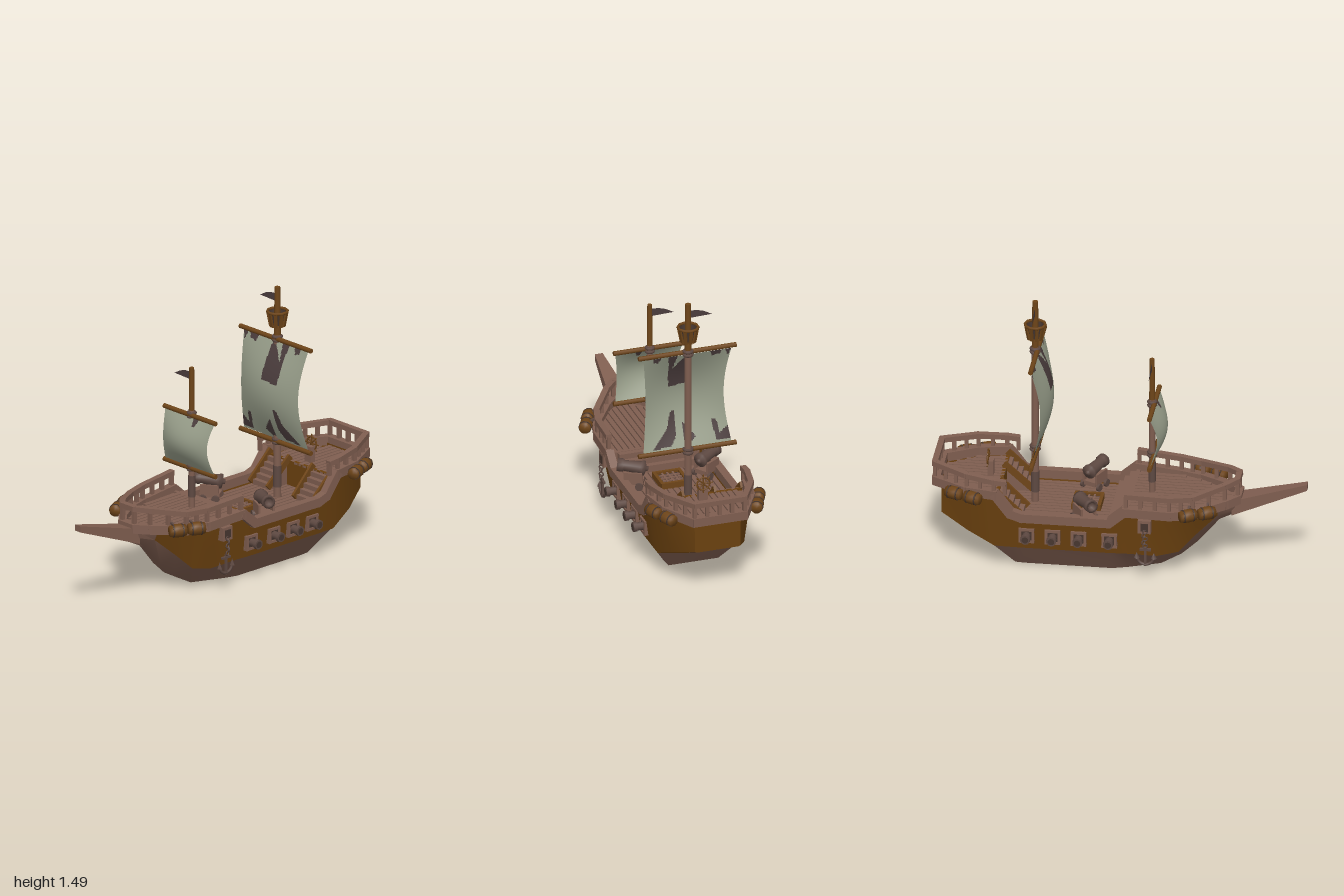
import * as THREE from 'three';
import { toCreasedNormals } from 'three/addons/utils/BufferGeometryUtils.js';

export function createModel() {
  const ship = new THREE.Group();
  ship.name = 'sailingShip';
  const mat = (name, color) => {
    const m = new THREE.MeshStandardMaterial({ color, side: THREE.DoubleSide });
    m.name = name;
    return m;
  };
  const wood = mat('paleWood', 0x7f5e50), hullBrown = mat('hullBrown', 0x6b410f);
  const brown = mat('warmWood', 0x6e4519), dark = mat('darkGap', 0x46362f);
  const iron = mat('iron', 0x5e4942), cloth = mat('sailCloth', 0x989e8a), tear = mat('sailTear', 0x4b3d3d);

  const add = (name, geo, m, x = 0, y = 0, z = 0, parent = ship) => {
    const mesh = new THREE.Mesh(geo, m);
    mesh.name = name;
    mesh.position.set(x, y, z);
    parent.add(mesh);
    return mesh;
  };
  const box = (name, w, h, d, m, x, y, z, parent) => add(name, new THREE.BoxGeometry(w, h, d), m, x, y, z, parent);
  const rod = (name, r0, r1, len, m, x, y, z, parent, sides = 10) =>
    add(name, new THREE.CylinderGeometry(r1, r0, len, sides), m, x, y, z, parent);
  // Rectangular bar from p to q
  const beam = (name, p, q, h, t, m) => {
    const a = new THREE.Vector3(...p), b = new THREE.Vector3(...q);
    const mesh = box(name, t, h, a.distanceTo(b) + t * 0.5, m, 0, 0, 0);
    mesh.position.copy(a).lerp(b, 0.5);
    mesh.lookAt(b);
  };
  const triangles = (list) => {
    const g = new THREE.BufferGeometry();
    g.setAttribute('position', new THREE.Float32BufferAttribute(list.flat(), 3));
    return toCreasedNormals(g, 0.6);
  };

  // Hull stations: x, keel y / half width, chine y / half width, top y / half width
  const stations = [
    [-0.65, 0.33, 0.02, 0.36, 0.035, 0.41, 0.045], [-0.53, 0.27, 0.02, 0.33, 0.10, 0.40, 0.13],
    [-0.42, 0.14, 0.03, 0.23, 0.14, 0.39, 0.20], [-0.33, 0.06, 0.04, 0.14, 0.18, 0.39, 0.235],
    [-0.22, 0, 0.05, 0.12, 0.205, 0.39, 0.25], [-0.05, 0, 0.12, 0.135, 0.23, 0.40, 0.26],
    [0.03, 0, 0.145, 0.135, 0.235, 0.33, 0.262], [0.50, 0, 0.145, 0.135, 0.235, 0.33, 0.262],
    [0.55, 0, 0.14, 0.135, 0.235, 0.35, 0.262], [0.65, 0.133, 0.222, 0.137, 0.235, 0.45, 0.262],
    [0.80, 0.198, 0.18, 0.203, 0.20, 0.45, 0.235], [0.95, 0.26, 0.115, 0.265, 0.128, 0.45, 0.13]];
  const section = ([x, yb, wb, yc, wc, yt, wt]) =>
    [[x, yt, wt], [x, yc, wc], [x, yb, wb], [x, yb, -wb], [x, yc, -wc], [x, yt, -wt]];
  const lower = [], upper = [];
  for (let i = 0; i < stations.length - 1; i++) {
    const P = section(stations[i]), Q = section(stations[i + 1]);
    for (let j = 0; j < 5; j++) {
      const painted = j === 0 || j === 4 ? i > 0 : i >= 9;
      (painted ? upper : lower).push(...[P[j], P[j + 1], Q[j + 1], P[j], Q[j + 1], Q[j]]);
    }
  }
  const stern = section(stations[stations.length - 1]), stem = section(stations[0]);
  for (let j = 1; j < 5; j++) {
    upper.push(stern[0], stern[j], stern[j + 1]);
    lower.push(stem[0], stem[j + 1], stem[j]);
  }
  add('lowerHull', triangles(lower), wood);
  add('upperHull', triangles(upper), hullBrown);

  // Bowsprit: a box tapered and lifted toward its tip
  const sprit = new THREE.BoxGeometry(0.4, 1, 1);
  const sp = sprit.attributes.position;
  for (let i = 0; i < sp.count; i++) {
    const tip = sp.getX(i) < 0, up = sp.getY(i) > 0;
    sp.setXYZ(i, tip ? -1 : -0.6, tip ? (up ? 0.505 : 0.47) : (up ? 0.40 : 0.315),
      Math.sign(sp.getZ(i)) * (tip ? 0.022 : 0.06));
  }
  sprit.computeVertexNormals();
  add('bowsprit', sprit, wood);

  // Decks: separate planks over a sunken base
  const halfWidth = (x) => {
    const i = Math.max(1, stations.findIndex((s) => s[0] >= x));
    const a = stations[i - 1], b = stations[i], t = (x - a[0]) / (b[0] - a[0]);
    return a[6] + (b[6] - a[6]) * t;
  };
  const deck = (name, a, b, y) => {
    const pts = [];
    for (let i = 0; i <= 20; i++) {
      const x = a + (b - a) * i / 20;
      pts.push([x, halfWidth(x) - 0.018]);
    }
    const outline = [...pts, ...pts.map(([x, w]) => [x, -w]).reverse()].map((p) => new THREE.Vector2(...p));
    add(name + 'Base', new THREE.ShapeGeometry(new THREE.Shape(outline)).rotateX(-Math.PI / 2), wood, 0, y - 0.008, 0);
    for (let k = -7; k <= 7; k++) {
      const z = k * 0.033, fits = pts.filter((p) => p[1] > Math.abs(z) + 0.012).map((p) => p[0]);
      if (fits.length < 2) continue;
      const x0 = fits[0], x1 = fits[fits.length - 1];
      box(name + 'Plank', x1 - x0, 0.012, 0.026, wood, (x0 + x1) / 2, y - 0.004, z);
    }
  };
  deck('foreDeck', -0.64, -0.06, 0.40);
  deck('mainDeck', -0.06, 0.64, 0.30);
  deck('aftDeck', 0.63, 0.95, 0.44);

  // Steps and bulkheads between the decks
  box('foreBulkhead', 0.02, 0.10, 0.48, wood, -0.06, 0.352, 0);
  for (let i = 0; i < 3; i++) box('foreStep', 0.04, 0.1 - i * 0.03, 0.44, wood, -0.04 + i * 0.03, 0.35 - i * 0.015, 0);
  box('aftBulkhead', 0.02, 0.14, 0.48, hullBrown, 0.64, 0.372, 0);
  for (const s of [1, -1]) {
    for (let i = 0; i < 5; i++) {
      const h = 0.03 + i * 0.026;
      box('aftStep', 0.027, h, 0.13, wood, 0.515 + i * 0.027, 0.30 + h / 2, s * 0.168);
    }
    beam('stairSide', [0.49, 0.32, s * 0.10], [0.64, 0.46, s * 0.09], 0.035, 0.014, brown);
    beam('stairSide', [0.49, 0.32, s * 0.238], [0.64, 0.46, s * 0.238], 0.035, 0.014, brown);
  }

  // Gunwale band and railings run along a side path and its mirror
  const bothSides = (path) => [...path, ...path.map(([x, y, z]) => [x, y, -z]).reverse()];
  const run = (name, path, h, t) => {
    for (let i = 0; i < path.length - 1; i++) beam(name, path[i], path[i + 1], h, t, wood);
  };
  const band = bothSides([[-0.63, 0.41, 0.045], [-0.57, 0.405, 0.105], [-0.41, 0.39, 0.215], [-0.29, 0.39, 0.25],
    [-0.05, 0.405, 0.268], [0.03, 0.335, 0.268], [0.50, 0.335, 0.268], [0.56, 0.355, 0.268],
    [0.64, 0.46, 0.268], [0.80, 0.46, 0.238], [0.975, 0.46, 0.14]]);
  run('gunwale', [...band, band[0]], 0.05, 0.044);
  const railing = (name, path, base) => {
    run(name + 'TopRail', path, 0.028, 0.032);
    for (let i = 0; i < path.length - 1; i++) {
      const [a, b] = [path[i], path[i + 1]];
      const n = Math.max(1, Math.round(Math.hypot(a[0] - b[0], a[2] - b[2]) / 0.08));
      for (let k = 0; k < n + (i === path.length - 2 ? 1 : 0); k++) {
        const p = a.map((v, c) => v + (b[c] - v) * k / n);
        box(name + 'Post', 0.02, p[1] - base, 0.02, wood, p[0], (p[1] + base) / 2, p[2]);
      }
    }
  };
  railing('foreRail', bothSides([[-0.63, 0.52, 0.045], [-0.57, 0.51, 0.105], [-0.41, 0.48, 0.215],
    [-0.29, 0.482, 0.25], [-0.06, 0.498, 0.268]].reverse()), 0.41);
  railing('aftRail', bothSides([[0.59, 0.53, 0.268], [0.65, 0.535, 0.268], [0.80, 0.548, 0.238], [0.982, 0.56, 0.14]]), 0.46);

  // Masts, yards and pennants
  const mast = (name, x, base, joint, top, r, yards, reach, flagY) => {
    rod(name + 'Foot', r * 1.12, r * 1.08, 0.12, iron, x, base + 0.13, 0);
    rod(name, r, r * 0.9, joint - base, wood, x, (joint + base) / 2, 0);
    rod(name + 'Top', r * 0.9, r * 0.75, top - joint, brown, x, (top + joint) / 2, 0);
    for (const y of yards) {
      rod(name + 'Yard', 0.013, 0.013, reach * 2, brown, x - 0.012, y, 0).rotation.x = Math.PI / 2;
      for (const d of [-0.01, 0.01])
        add(name + 'Lashing', new THREE.TorusGeometry(r + 0.002, 0.008, 6, 12).rotateX(Math.PI / 2), iron, x, y + d, 0);
    }
    const flag = new THREE.Shape([[-0.005, 0.025], [0.05, 0.022], [0.09, 0.010], [0.135, -0.015], [0.07, -0.017], [-0.005, -0.02]]
      .map((p) => new THREE.Vector2(...p)));
    add(name + 'Pennant', new THREE.ShapeGeometry(flag).rotateY(Math.PI / 2), tear, x, flagY, 0);
  };
  mast('foreMast', -0.165, 0.39, 0.95, 1.19, 0.018, [0.925, 0.625], 0.2, 1.14);
  mast('mainMast', 0.463, 0.29, 1.22, 1.49, 0.021, [1.2, 0.62], 0.275, 1.425);

  // Sails: billowed grids whose torn cells take the dark colour
  const inside = (poly, u, v) => {
    let hit = false;
    poly.forEach(([x0, y0], i) => {
      const [x1, y1] = poly[(i + 1) % poly.length];
      if ((y0 > v) !== (y1 > v) && u < (x1 - x0) * (v - y0) / (y1 - y0) + x0) hit = !hit;
    });
    return hit;
  };
  const sail = (name, x, top, bottom, half, bulge, tears) => {
    const n = 80, g = new THREE.PlaneGeometry(1, 1, n, n), p = g.attributes.position;
    for (let i = 0; i < p.count; i++) {
      const u = p.getX(i) * 2, v = 0.5 - p.getY(i), b = Math.sin(Math.PI * v);
      p.setXYZ(i, x - b * bulge * (0.55 + 0.45 * (1 - u * u)), top + (bottom - top) * v, -u * half * (1 - 0.11 * b));
    }
    g.computeVertexNormals();
    const whole = [], torn = [];
    for (let c = 0; c < n * n; c++) {
      const u = (c % n + 0.5) / n, v = (Math.floor(c / n) + 0.5) / n;
      (tears.some((t) => inside(t, u, v)) ? torn : whole).push(...g.index.array.slice(c * 6, c * 6 + 6));
    }
    g.setIndex([...whole, ...torn]);
    g.addGroup(0, whole.length, 0);
    g.addGroup(whole.length, torn.length, 1);
    add(name, g, [cloth, tear]);
  };
  sail('mainSail', 0.453, 1.185, 0.635, 0.247, 0.085, [
    [[0.29, 0], [0.39, 0], [0.35, 0.17], [0.47, 0.03], [0.54, 0], [0.58, 0.37], [0.31, 0.39]],
    [[0.11, 0], [0.21, 0], [0.17, 0.06], [0.11, 0.05]], [[0.76, 0], [0.9, 0], [0.88, 0.05], [0.79, 0.06]],
    [[0.93, 0], [1, 0], [0.98, 0.08]], [[0.1, 0.99], [0.29, 0.8], [0.33, 0.66], [0.39, 0.65], [0.39, 0.88], [0.33, 0.97]],
    [[0.48, 0.78], [0.59, 0.88], [0.61, 0.92], [0.53, 0.97], [0.48, 0.97]],
    [[0.82, 0.77], [0.88, 0.78], [0.89, 0.91], [1, 0.85], [1, 0.97], [0.84, 0.97]]]);
  sail('foreSail', -0.177, 0.92, 0.63, 0.19, 0.068, [[[0.3, 0], [0.42, 0], [0.38, 0.16], [0.33, 0.14]]]);

  // Crow's nest
  rod('nestFloor', 0.04, 0.04, 0.012, brown, 0.463, 1.275, 0);
  add('nestWall', new THREE.CylinderGeometry(0.05, 0.036, 0.075, 10, 1, true), dark, 0.463, 1.31, 0);
  for (let i = 0; i < 10; i++) {
    const a = i / 10 * Math.PI * 2, c = Math.cos(a), s = Math.sin(a);
    beam('nestSlat', [0.463 + c * 0.04, 1.275, s * 0.04], [0.463 + c * 0.054, 1.35, s * 0.054], 0.01, 0.018, brown);
  }
  add('nestRim', new THREE.TorusGeometry(0.055, 0.008, 6, 10).rotateX(Math.PI / 2), brown, 0.463, 1.352, 0);

  // Deck hatch with grating
  box('hatchWell', 0.13, 0.02, 0.13, dark, 0.18, 0.31, 0);
  for (const d of [-0.07, 0.07]) {
    box('hatchFrame', 0.155, 0.035, 0.018, brown, 0.18, 0.317, d);
    box('hatchFrame', 0.018, 0.035, 0.155, brown, 0.18 + d, 0.317, 0);
  }
  for (const d of [-0.03, 0, 0.03]) {
    box('hatchGrate', 0.13, 0.01, 0.01, wood, 0.18, 0.324, d);
    box('hatchGrate', 0.01, 0.01, 0.13, wood, 0.18 + d, 0.324, 0);
  }

  // Steering wheel
  box('wheelStand', 0.03, 0.09, 0.05, wood, 0.70, 0.485, 0);
  add('wheelRim', new THREE.TorusGeometry(0.036, 0.005, 6, 14).rotateY(Math.PI / 2), brown, 0.715, 0.54, 0);
  for (let i = 0; i < 4; i++) rod('wheelSpoke', 0.004, 0.004, 0.105, brown, 0.715, 0.54, 0, ship, 6).rotation.x = i * Math.PI / 4;

  const gunProfile = [[0, 0], [0.014, 0.004], [0.014, 0.014], [0.04, 0.02], [0.04, 0.035], [0.034, 0.045], [0.029, 0.13],
    [0.036, 0.14], [0.036, 0.168], [0.022, 0.168], [0.02, 0.14], [0, 0.14]].map((p) => new THREE.Vector2(...p));
  const barrelProfile = [[0, -0.046], [0.029, -0.046], [0.036, -0.015], [0.036, 0.015], [0.029, 0.046], [0, 0.046]]
    .map((p) => new THREE.Vector2(...p));
  for (const s of [1, -1]) {
    // Deck cannons on wheeled carriages
    const gun = new THREE.Group();
    gun.name = 'deckCannon';
    gun.position.set(0.17, 0.30, s * 0.205);
    gun.rotation.y = s > 0 ? -0.45 : Math.PI + 0.6;
    ship.add(gun);
    const tube = add('cannonBarrel', new THREE.LatheGeometry(gunProfile, 12), iron, 0, 0.11, -0.08, gun);
    tube.rotation.x = Math.PI / 2 - 0.1;
    box('carriageBed', 0.07, 0.025, 0.11, wood, 0, 0.04, 0, gun);
    for (const e of [-1, 1]) {
      box('carriageCheek', 0.012, 0.06, 0.10, wood, e * 0.04, 0.07, 0, gun);
      for (const d of [-0.035, 0.035]) rod('carriageWheel', 0.022, 0.022, 0.014, iron, e * 0.051, 0.024, d, gun).rotation.z = Math.PI / 2;
    }
    // Gun ports
    for (const x of [0.03, 0.195, 0.335, 0.475]) {
      box('portHole', 0.06, 0.06, 0.03, dark, x, 0.22, s * 0.243);
      for (const d of [-0.034, 0.034]) {
        box('portFrame', 0.084, 0.014, 0.034, wood, x, 0.22 + d, s * 0.247);
        box('portFrame', 0.014, 0.084, 0.034, wood, x + d, 0.22, s * 0.247);
      }
      rod('portGun', 0.022, 0.022, 0.07, iron, x, 0.22, s * 0.27).rotation.x = Math.PI / 2;
      rod('portGunMuzzle', 0.027, 0.027, 0.02, iron, x, 0.22, s * 0.305).rotation.x = Math.PI / 2;
      rod('portGunBore', 0.018, 0.018, 0.004, dark, x, 0.22, s * 0.315).rotation.x = Math.PI / 2;
    }
    // Anchor, chain and hawse frame
    box('hawseFrame', 0.07, 0.075, 0.04, wood, -0.16, 0.32, s * 0.255);
    box('hawseHole', 0.04, 0.045, 0.006, dark, -0.16, 0.32, s * 0.275);
    for (let i = 0; i < 5; i++) {
      const link = add('chainLink', new THREE.TorusGeometry(0.012, 0.004, 5, 8), iron, -0.16 + (i % 2 ? 0.005 : -0.005), 0.295 - i * 0.021, s * 0.276);
      link.rotation.y = i % 2 ? 1 : 0.2;
    }
    box('anchorShank', 0.013, 0.11, 0.012, iron, -0.165, 0.145, s * 0.265);
    box('anchorStock', 0.06, 0.012, 0.014, iron, -0.165, 0.185, s * 0.265);
    add('anchorArms', new THREE.TorusGeometry(0.045, 0.008, 6, 12, Math.PI), iron, -0.165, 0.142, s * 0.265).rotation.z = Math.PI;
    for (const e of [-1, 1]) add('anchorFluke', new THREE.ConeGeometry(0.016, 0.035, 4), iron, -0.165 + e * 0.046, 0.15, s * 0.265);
    // Barrels slung outside the rails
    for (const [x, y, z, turn] of [[-0.49, 0.41, 0.235, 0.5], [-0.395, 0.41, 0.28, 0.5], [0.76, 0.445, 0.295, -0.4], [0.865, 0.445, 0.25, -0.4]]) {
      const barrel = new THREE.Group();
      barrel.name = 'slungBarrel';
      barrel.position.set(x, y, s * z);
      barrel.rotation.set(0, -s * turn, Math.PI / 2);
      ship.add(barrel);
      add('barrelBody', new THREE.LatheGeometry(barrelProfile, 10), brown, 0, 0, 0, barrel);
      for (const d of [-0.026, 0.026]) rod('barrelHoop', 0.036, 0.036, 0.007, dark, 0, d, 0, barrel);
      beam('barrelRope', [x, y + 0.01, s * z], [x, y + 0.03, s * (z - 0.05)], 0.012, 0.012, iron);
    }
  }
  return ship;
}
